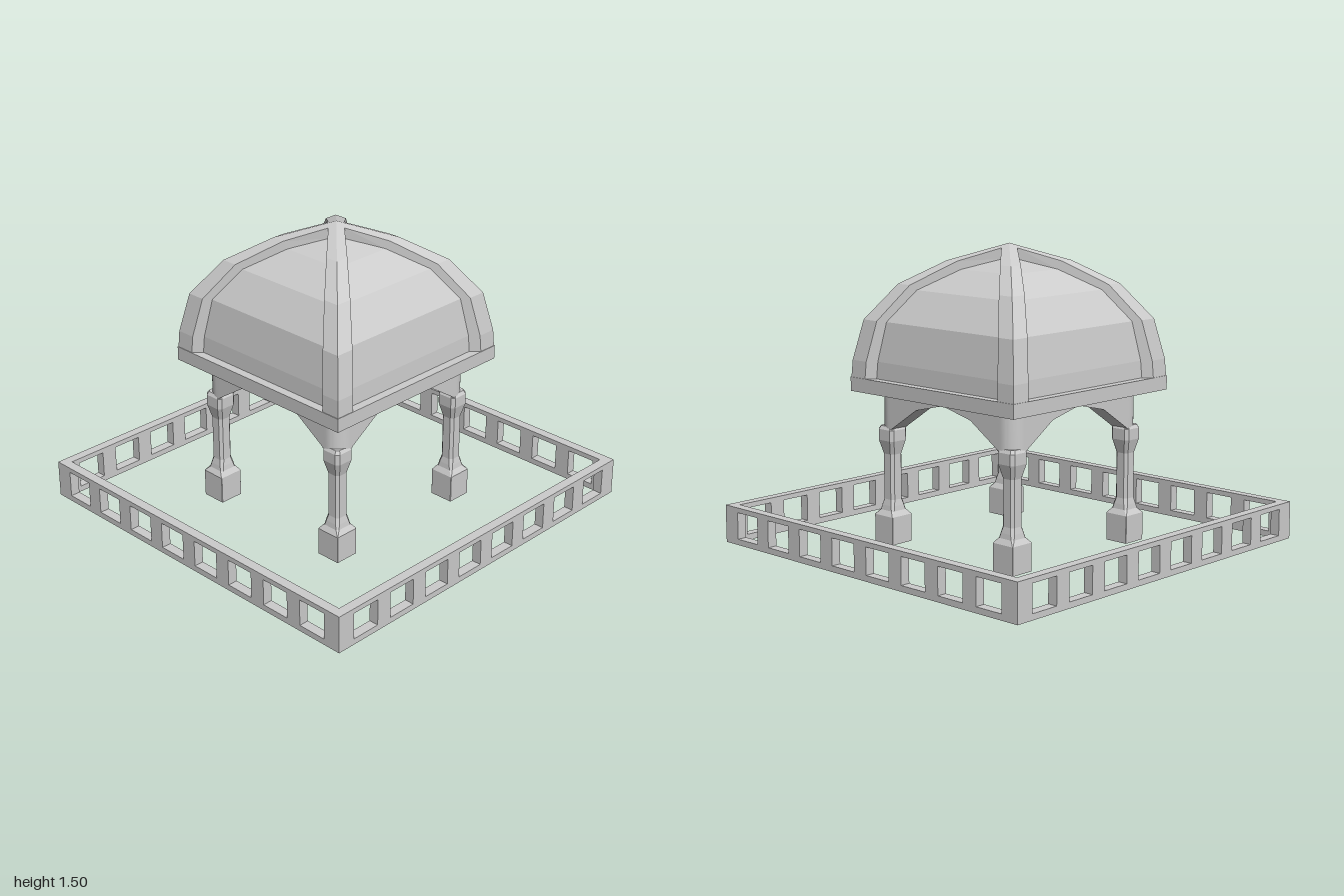
import * as THREE from 'three';
import { toCreasedNormals } from 'three/addons/utils/BufferGeometryUtils.js';

const flat = new THREE.MeshStandardMaterial({ color: 0xcccccc, flatShading: true });
const smooth = new THREE.MeshStandardMaterial({ color: 0xcccccc });
const shell = new THREE.MeshStandardMaterial({ color: 0xcccccc, flatShading: true, side: THREE.DoubleSide });

function add(parent, name, geometry, material = flat) {
  const mesh = new THREE.Mesh(geometry, material);
  mesh.name = name;
  parent.add(mesh);
  return mesh;
}

// Skin closed rings of [x, y, z] points, stacked upwards, with both ends capped.
function loft(rings) {
  const n = rings[0].length;
  const index = [];
  for (let i = 0; i < rings.length - 1; i++) {
    for (let j = 0; j < n; j++) {
      const a = i * n + j, b = i * n + (j + 1) % n;
      index.push(a, a + n, b, b, a + n, b + n);
    }
  }
  const top = (rings.length - 1) * n;
  for (let j = 1; j < n - 1; j++) index.push(0, j, j + 1, top, top + j + 1, top + j);
  const g = new THREE.BufferGeometry();
  g.setAttribute('position', new THREE.Float32BufferAttribute(rings.flat(2), 3));
  g.setIndex(index);
  const out = g.toNonIndexed();
  out.computeVertexNormals();
  return out;
}

// Square ring of half-width s with corners cut by c.
function cutSquare(y, s, c, cx, cz) {
  const k = s - c;
  return [[s, -k], [s, k], [k, s], [-k, s], [-s, k], [-s, -k], [-k, -s], [k, -s]]
    .map(([x, z]) => [cx + x, y, cz + z]);
}

// One side of the railing, pierced by eight openings.
function railing(half) {
  const s = new THREE.Shape();
  s.moveTo(-half, 0).lineTo(half, 0).lineTo(half, 0.19).lineTo(-half, 0.19).closePath();
  for (let i = 0; i < 8; i++) {
    const x = (i - 3.5) * 0.237, w = 0.077;
    const hole = new THREE.Path();
    hole.moveTo(x - w, 0.03).lineTo(x - w, 0.165).lineTo(x + w, 0.165).lineTo(x + w, 0.03).closePath();
    s.holes.push(hole);
  }
  return new THREE.ExtrudeGeometry(s, { depth: 0.05, bevelEnabled: false }).translate(0, 0, 0.95);
}

// Arched wall between two columns.
function archWall() {
  const s = new THREE.Shape();
  s.moveTo(-0.37, 0.765).lineTo(-0.37, 0.578).lineTo(-0.185, 0.7).lineTo(0, 0.745)
    .lineTo(0.185, 0.7).lineTo(0.37, 0.578).lineTo(0.37, 0.765).closePath();
  return new THREE.ExtrudeGeometry(s, { depth: 0.1, bevelEnabled: false }).translate(0, 0, 0.36);
}

// Corner block above a column, rounded on the outside.
function cornerBlock() {
  const a = 0.36, b = 0.46, r = 0.08;
  const s = new THREE.Shape();
  s.moveTo(a, a).lineTo(b, a).lineTo(b, b - r);
  s.absarc(b - r, b - r, r, 0, Math.PI / 2, false);
  s.lineTo(a, b).closePath();
  const g = new THREE.ExtrudeGeometry(s, { depth: 0.185, bevelEnabled: false, curveSegments: 8 });
  g.rotateX(Math.PI / 2).translate(0, 0.765, 0);
  return toCreasedNormals(g, 0.6);
}

// Column as [height, half-width, corner cut].
const COLUMN = [
  [0, 0.065, 0.002], [0.14, 0.065, 0.002], [0.165, 0.048, 0.01], [0.19, 0.044, 0.013],
  [0.22, 0.037, 0.014], [0.45, 0.037, 0.014], [0.52, 0.055, 0.016], [0.575, 0.055, 0.016],
  [0.592, 0.045, 0.014],
];

// Dome profile: rib half-width and height, then panel half-width and height.
const DOME = [
  [0.55, 0.835, 0.508, 0.835], [0.545, 0.92, 0.503, 0.92], [0.505, 1.12, 0.47, 1.115],
  [0.385, 1.295, 0.36, 1.27], [0.215, 1.41, 0.2, 1.37], [0.055, 1.473, 0.05, 1.419],
  [0, 1.495, 0, 1.435],
];

// Corner rib with two outer faces, standing proud of the panels and tapering upwards.
function rib() {
  const inset = (h) => Math.max(0, h - 0.05 - 0.09 * h);
  return loft(DOME.map(([h, y, p, py]) => [
    [p, py, inset(p)], [h, y, inset(h)], [h, y, h], [inset(h), y, h], [inset(p), py, p],
  ]));
}

export function createModel() {
  const model = new THREE.Group();
  model.name = 'domedPavilion';

  const column = loft(COLUMN.map(([y, s, c]) => cutSquare(y, s, c, 0.41, 0.41)));
  const block = cornerBlock(), wall = archWall(), ribGeometry = rib();
  const rails = [railing(1), railing(0.95)];

  // Four-fold parts
  for (let i = 0; i < 4; i++) {
    const side = new THREE.Group();
    side.name = 'side' + (i + 1);
    side.rotation.y = i * Math.PI / 2;
    add(side, 'railing', rails[i % 2]);
    add(side, 'column', column);
    add(side, 'cornerBlock', block, smooth);
    add(side, 'archWall', wall);
    add(side, 'domeRib', ribGeometry);
    model.add(side);
  }

  // Cornice slab
  add(model, 'cornice', new THREE.BoxGeometry(1.106, 0.07, 1.106)).position.y = 0.8;

  // Four-sided dome panels
  const profile = DOME.map(([, , p, y]) => new THREE.Vector2(p * Math.SQRT2, y));
  const dome = new THREE.LatheGeometry(profile, 4, Math.PI / 4).toNonIndexed();
  dome.computeVertexNormals();
  add(model, 'domePanels', dome, shell);

  return model;
}
